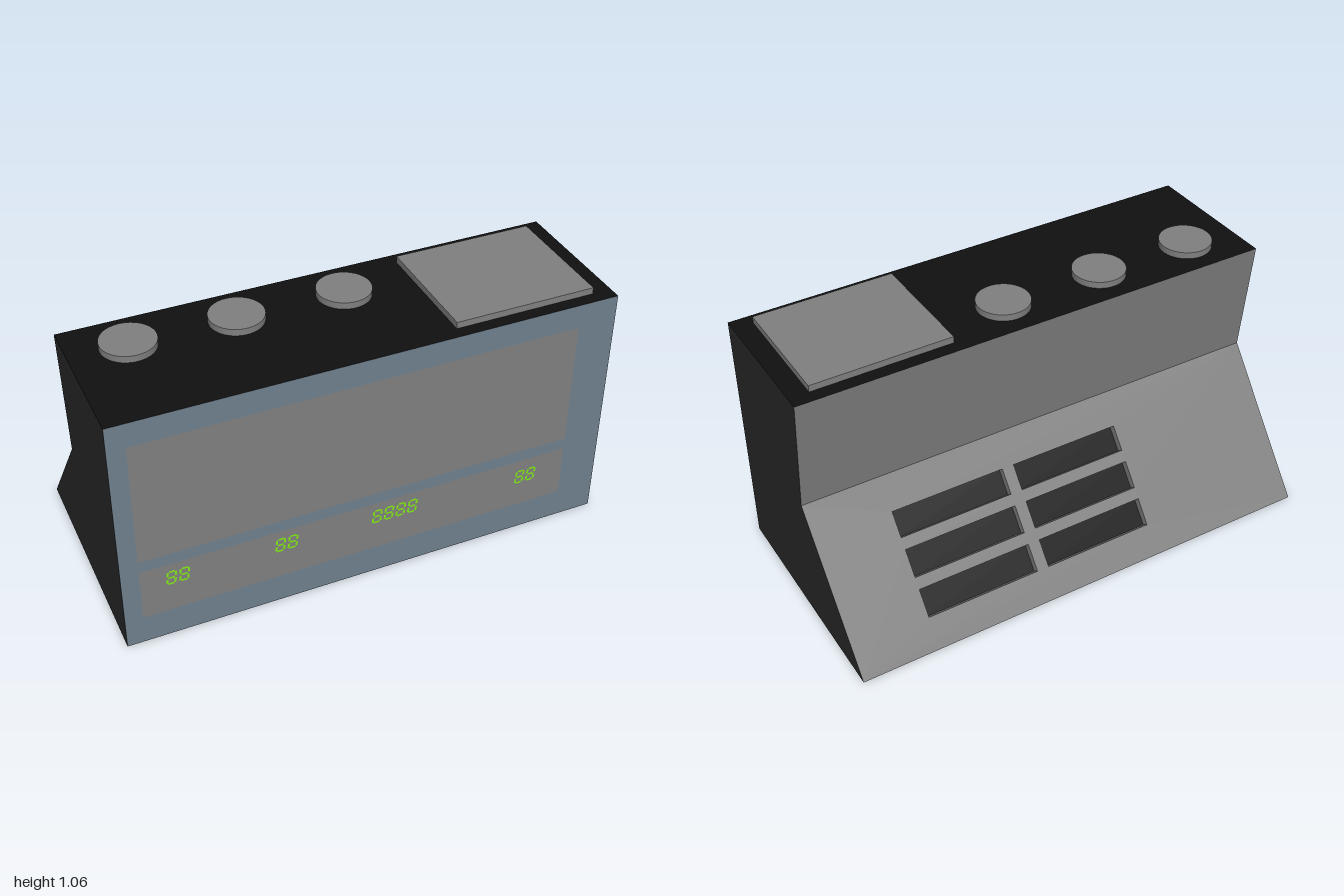
import * as THREE from 'three';

const mat = (color, side = THREE.FrontSide) => new THREE.MeshStandardMaterial({ color, side });
const grey = mat(0x808080);
const blue = mat(0x70808f);
const topBlack = mat(0x101010);
const sideBlack = mat(0x2a2a2a, THREE.DoubleSide);
const green = mat(0x80ee10);

// Body profile as [z, y], running up the front, over the top and down the back
const PROFILE = [[0.49, 0], [0.49, 1.03], [-0.11, 1.03], [-0.057, 0.54], [-0.49, 0]];

function add(parent, name, geometry, material, x = 0, y = 0, z = 0) {
  const mesh = new THREE.Mesh(geometry, material);
  mesh.name = name;
  mesh.position.set(x, y, z);
  parent.add(mesh);
  return mesh;
}

// Rectangle path with corners (x0, y0) and (x1, y1)
function rect(x0, y0, x1, y1, Type = THREE.Shape) {
  return new Type([[x0, y0], [x1, y0], [x1, y1], [x0, y1]].map(p => new THREE.Vector2(...p)));
}

// Frame lying on a profile edge: local y runs along the edge, local z points out
function edgeFrame(name, i) {
  const [z0, y0] = PROFILE[i], [z1, y1] = PROFILE[(i + 1) % PROFILE.length];
  const frame = new THREE.Group();
  frame.name = name;
  frame.position.set(0, y0, z0);
  frame.rotation.x = Math.atan2(z1 - z0, y1 - y0);
  frame.userData.length = Math.hypot(z1 - z0, y1 - y0);
  return frame;
}

// Seven-segment display cell, slightly slanted
function segmentCell(x, y, w, h) {
  const cell = new THREE.Group();
  cell.name = 'displayCell';
  const t = 0.008, slant = 0.1;
  const bar = (bw, bh, bx, by) => {
    const g = new THREE.PlaneGeometry(bw, bh).translate(bx, by, 0);
    const p = g.attributes.position;
    for (let i = 0; i < p.count; i++) p.setX(i, p.getX(i) + p.getY(i) * slant);
    add(cell, 'displaySegment', g, green);
  };
  for (const k of [-1, 0, 1]) bar(w - 2 * t, t, 0, k * (h - t) / 2);
  for (const sx of [-1, 1])
    for (const sy of [-1, 1]) bar(t, h / 2 - 1.5 * t, sx * (w - t) / 2, sy * h / 4);
  cell.position.set(x, y, 0.494);
  return cell;
}

export function createModel() {
  const model = new THREE.Group();
  model.name = 'deskClock';

  // Flat faces of the case
  [['frontFace', 0, blue], ['topFace', 1, topBlack], ['upperBack', 2, grey], ['base', 4, sideBlack]]
    .forEach(([name, i, material]) => {
      const frame = edgeFrame(name, i), len = frame.userData.length;
      add(frame, name + 'Panel', new THREE.PlaneGeometry(2, len), material, 0, len / 2);
      model.add(frame);
    });

  // End walls
  const endShape = new THREE.Shape(PROFILE.map(p => new THREE.Vector2(...p)));
  for (const [name, x] of [['rightEnd', -1], ['leftEnd', 1]]) {
    add(model, name, new THREE.ShapeGeometry(endShape), sideBlack, x).rotation.y = -Math.PI / 2;
  }

  // Sloping back with two columns of vent slots
  const slope = edgeFrame('slopingBack', 3), len = slope.userData.length;
  const sheet = rect(-1, 0, 1, len);
  const along = z => (-0.057 - z) / 0.433 * len;
  const depth = 0.035, rim = 0.01;
  for (const [x0, x1] of [[-0.32, 0.15], [0.2, 0.68]]) {
    for (const [za, zb] of [[-0.145, -0.21], [-0.24, -0.31], [-0.34, -0.41]]) {
      const y0 = along(za), y1 = along(zb);
      sheet.holes.push(rect(x0, y0, x1, y1, THREE.Path));
      const wall = rect(x0 - rim, y0 - rim, x1 + rim, y1 + rim);
      wall.holes.push(rect(x0, y0, x1, y1, THREE.Path));
      add(slope, 'ventWall', new THREE.ExtrudeGeometry(wall, { depth: depth - 0.001, bevelEnabled: false }),
        grey, 0, 0, -depth);
      add(slope, 'ventFloor', new THREE.PlaneGeometry(x1 - x0, y1 - y0), topBlack,
        (x0 + x1) / 2, (y0 + y1) / 2, -depth + 0.001);
    }
  }
  add(slope, 'slopePanel', new THREE.ShapeGeometry(sheet), grey);
  model.add(slope);

  // Display windows on the front
  for (const [name, y0, y1] of [['upperDisplay', 0.4, 0.93], ['lowerDisplay', 0.125, 0.35]]) {
    add(model, name, new THREE.ShapeGeometry(rect(-0.93, y0, 0.84, y1)), grey, 0, 0, 0.492);
  }

  // Segment cells: first x, baseline centre and count for each group
  for (const [x, y, count] of [[-0.81, 0.285, 2], [-0.38, 0.285, 2], [0.02, 0.285, 4], [0.645, 0.27, 2]]) {
    for (let i = 0; i < count; i++) model.add(segmentCell(x + i * 0.05, y, 0.04, 0.065));
  }

  // Round buttons and the large square button
  for (const x of [-0.775, -0.362, 0.068]) {
    add(model, 'roundButton', new THREE.CylinderGeometry(0.107, 0.107, 0.027, 48), grey, x, 1.0435, 0.062);
  }
  add(model, 'squareButton', new THREE.BoxGeometry(0.575, 0.027, 0.497), grey, 0.6325, 1.0435, 0.1915);

  return model;
}
